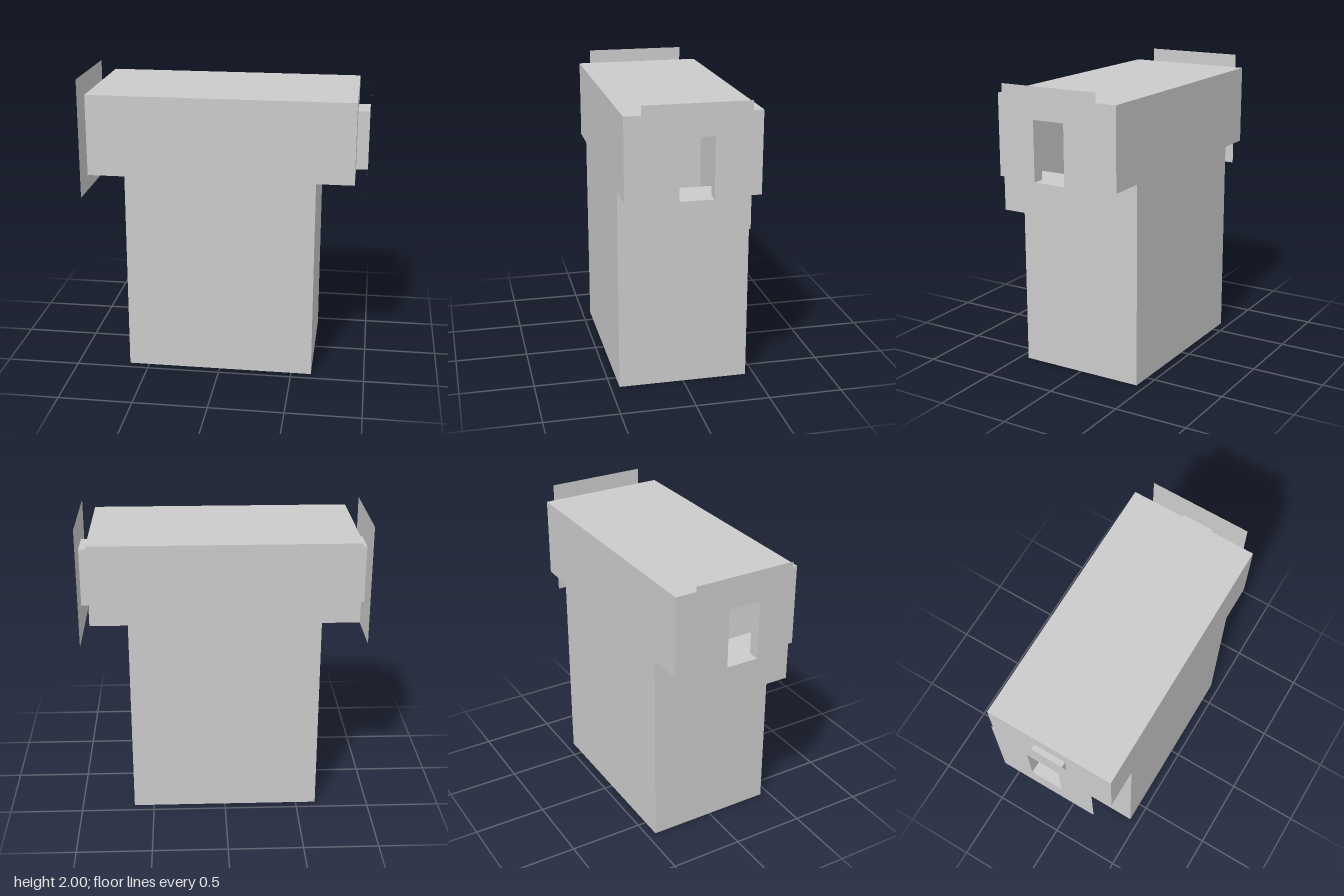
import * as THREE from 'three';

const material = new THREE.MeshStandardMaterial({ color: 0xcccccc, flatShading: true, side: THREE.DoubleSide });

const BAR_X = 0.887, BODY_X = 0.637, FLANGE_X = 0.967, HALF_Z = 0.44;
const BAR_Y0 = 1.375, BAR_Y1 = 1.92;
const HOLE = { z: 0.112, y0: 1.39, y1: 1.79 };

function rectPoints(u0, v0, u1, v1) {
  return [[u0, v0], [u1, v0], [u1, v1], [u0, v1]].map(([u, v]) => new THREE.Vector2(u, v));
}

function addSheet(parent, name, geometry) {
  const mesh = new THREE.Mesh(geometry, material);
  mesh.name = name;
  parent.add(mesh);
  return mesh;
}

// Upright sheet across the x axis, facing outwards, with optional window
function crossSheet(side, x, y0, y1, halfZ, windowed) {
  const shape = new THREE.Shape(rectPoints(-halfZ, y0, halfZ, y1));
  if (windowed) shape.holes.push(new THREE.Path(rectPoints(-HOLE.z, HOLE.y0, HOLE.z, HOLE.y1)));
  return new THREE.ShapeGeometry(shape).rotateY(side * Math.PI / 2).translate(side * x, 0, 0);
}

// Horizontal sheet facing up (1) or down (-1)
function levelSheet(x0, x1, y, halfZ, facing) {
  return new THREE.PlaneGeometry(x1 - x0, halfZ * 2)
    .rotateX(-facing * Math.PI / 2).translate((x0 + x1) / 2, y, 0);
}

export function createModel() {
  const model = new THREE.Group();
  model.name = 'teeHousing';

  // Hollow T-shaped shell: front and back
  const tee = new THREE.Shape([
    [-BODY_X, 0], [BODY_X, 0], [BODY_X, BAR_Y0], [BAR_X, BAR_Y0],
    [BAR_X, BAR_Y1], [-BAR_X, BAR_Y1], [-BAR_X, BAR_Y0], [-BODY_X, BAR_Y0],
  ].map(([x, y]) => new THREE.Vector2(x, y)));
  addSheet(model, 'frontWall', new THREE.ShapeGeometry(tee).translate(0, 0, HALF_Z));
  addSheet(model, 'backWall', new THREE.ShapeGeometry(tee).rotateY(Math.PI).translate(0, 0, -HALF_Z));
  addSheet(model, 'top', levelSheet(-BAR_X, BAR_X, BAR_Y1, HALF_Z, 1));
  addSheet(model, 'base', levelSheet(-BODY_X, BODY_X, 0, HALF_Z, -1));

  for (const side of [1, -1]) {
    const end = new THREE.Group();
    end.name = side > 0 ? 'leftEnd' : 'rightEnd';
    model.add(end);

    // Shell sides
    addSheet(end, 'bodySide', crossSheet(side, BODY_X, 0, BAR_Y0, HALF_Z, false));
    addSheet(end, 'barEnd', crossSheet(side, BAR_X, BAR_Y0, BAR_Y1, HALF_Z, true));
    const xs = [side * BODY_X, side * BAR_X].sort((a, b) => a - b);
    addSheet(end, 'barUnderside', levelSheet(xs[0], xs[1], BAR_Y0, HALF_Z, -1));

    // Rectangular duct leading out to the thin flange
    const ductXs = [side * BAR_X, side * FLANGE_X].sort((a, b) => a - b);
    addSheet(end, 'ductRoof', levelSheet(ductXs[0], ductXs[1], HOLE.y1, HOLE.z, 1));
    addSheet(end, 'ductFloor', levelSheet(ductXs[0], ductXs[1], HOLE.y0, HOLE.z, -1));
    for (const face of [1, -1]) {
      const wall = new THREE.PlaneGeometry(FLANGE_X - BAR_X, HOLE.y1 - HOLE.y0)
        .rotateY(face > 0 ? 0 : Math.PI)
        .translate(side * (BAR_X + FLANGE_X) / 2, (HOLE.y0 + HOLE.y1) / 2, face * HOLE.z);
      addSheet(end, face > 0 ? 'ductFrontWall' : 'ductBackWall', wall);
    }
    addSheet(end, 'flange', crossSheet(side, FLANGE_X, 1.18, 2, 0.347, true));
  }
  return model;
}
